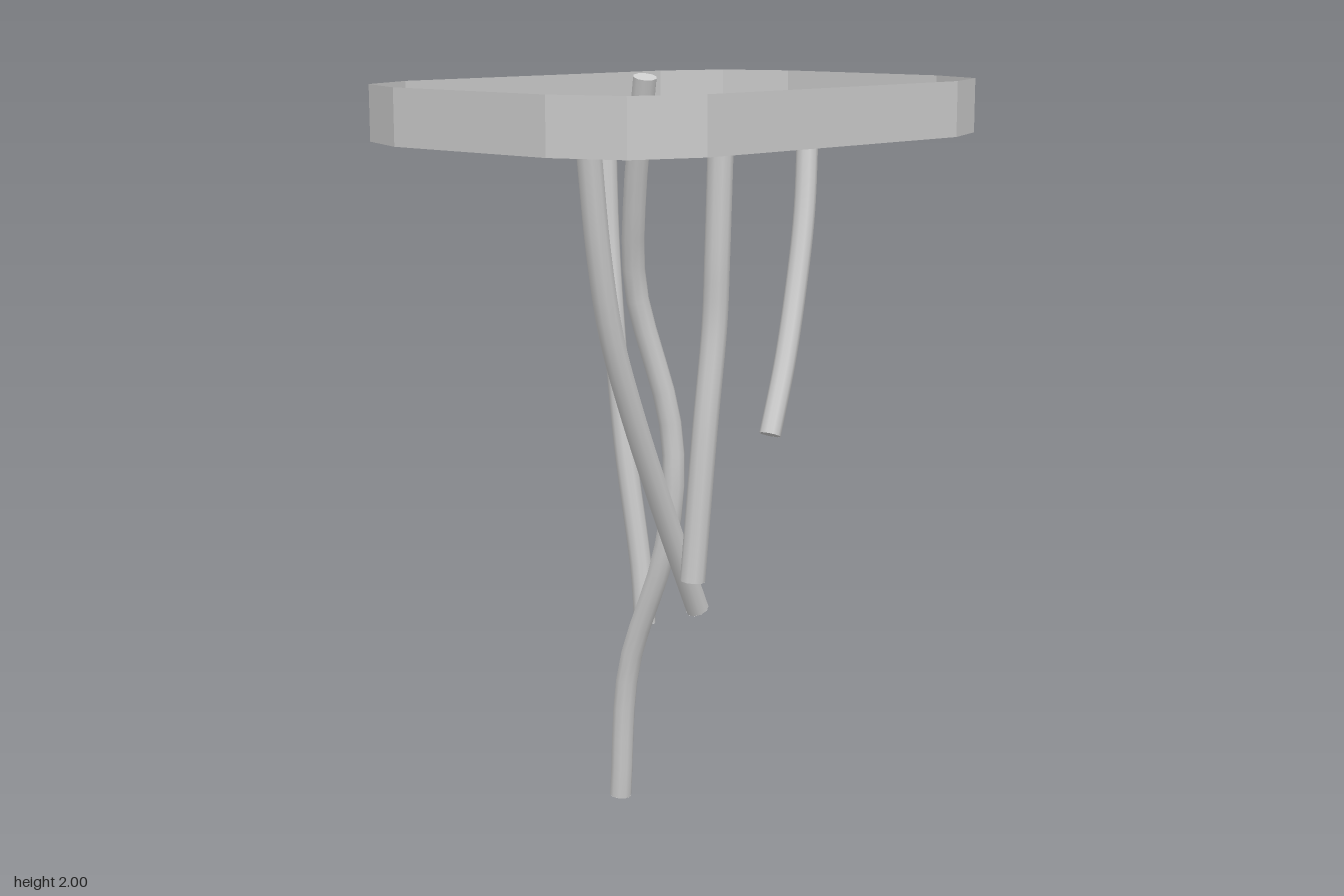
import * as THREE from 'three';

const SIDES = 10, RADIUS = 0.03;
const FLOOR_Y = 1.84, RIM_Y = 1.98;

const smooth = new THREE.MeshStandardMaterial({ color: 0xcccccc, side: THREE.DoubleSide });
const flat = new THREE.MeshStandardMaterial({ color: 0xcccccc, side: THREE.DoubleSide, flatShading: true });

// Rectangle outline with two-segment rounded corners, as [x, z] points
function trayOutline(halfX, halfZ, r) {
  const pts = [];
  [[1, 1], [-1, 1], [-1, -1], [1, -1]].forEach(([sx, sz], corner) => {
    for (let i = 0; i <= 2; i++) {
      const a = (corner + i / 2) * Math.PI / 2;
      pts.push(new THREE.Vector2(sx * (halfX - r) + r * Math.cos(a), sz * (halfZ - r) + r * Math.sin(a)));
    }
  });
  return pts;
}

// Thin open tray: a floor plate and an upright rim
function makeTray() {
  const tray = new THREE.Group();
  tray.name = 'tray';
  const outline = trayOutline(0.515, 0.725, 0.255);

  const floor = new THREE.Mesh(new THREE.ShapeGeometry(new THREE.Shape(outline)).rotateX(Math.PI / 2), flat);
  floor.name = 'trayFloor';
  floor.position.y = FLOOR_Y;

  const pos = [];
  outline.forEach((a, i) => {
    const b = outline[(i + 1) % outline.length];
    pos.push(a.x, FLOOR_Y, a.y, a.x, RIM_Y, a.y, b.x, RIM_Y, b.y);
    pos.push(a.x, FLOOR_Y, a.y, b.x, RIM_Y, b.y, b.x, FLOOR_Y, b.y);
  });
  const rimGeometry = new THREE.BufferGeometry();
  rimGeometry.setAttribute('position', new THREE.Float32BufferAttribute(pos, 3));
  rimGeometry.computeVertexNormals();
  const rim = new THREE.Mesh(rimGeometry, flat);
  rim.name = 'trayRim';

  tray.add(floor, rim);
  return tray;
}

// Bent round stem with a disc closing each end
function makeStem(name, points) {
  const stem = new THREE.Group();
  stem.name = name;
  const curve = new THREE.CatmullRomCurve3(points.map((p) => new THREE.Vector3(...p)), false, 'centripetal');
  const tube = new THREE.Mesh(new THREE.TubeGeometry(curve, 24, RADIUS, SIDES), smooth);
  tube.name = name + 'Tube';
  stem.add(tube);
  [0, 1].forEach((t) => {
    const cap = new THREE.Mesh(new THREE.CircleGeometry(RADIUS, SIDES), flat);
    cap.name = name + (t ? 'TopCap' : 'BottomCap');
    const end = curve.getPointAt(t);
    cap.position.copy(end);
    cap.lookAt(end.clone().addScaledVector(curve.getTangentAt(t), t ? 1 : -1));
    stem.add(cap);
  });
  return stem;
}

export function createModel() {
  const model = new THREE.Group();
  model.name = 'trayOnStems';
  model.add(makeTray());

  // Main stem reaches the ground and pokes up through the tray
  model.add(makeStem('mainStem', [
    [-0.265, 0.005, -0.037], [-0.225, 0.38, -0.03], [-0.1, 0.72, -0.037], [-0.065, 0.92, -0.04],
    [-0.07, 1.1, -0.03], [-0.11, 1.45, 0.055], [-0.07, 1.67, 0.1], [0.012, 1.995, 0.145],
  ]));

  // Shorter stems hanging from the tray
  model.add(makeStem('rightStem', [
    [-0.215, 0.5, -0.085], [-0.23, 0.65, -0.087], [-0.28, 1.0, -0.075],
    [-0.32, 1.3, -0.08], [-0.355, 1.55, -0.095], [-0.375, 1.842, -0.105],
  ]));
  model.add(makeStem('backStem', [
    [-0.025, 1.01, -0.385], [-0.038, 1.2, -0.46], [-0.055, 1.4, -0.525],
    [-0.07, 1.6, -0.575], [-0.097, 1.87, -0.62],
  ]));
  model.add(makeStem('frontStem', [
    [0.14, 0.645, 0.09], [0.157, 0.92, 0.23], [0.175, 1.2, 0.365],
    [0.185, 1.4, 0.445], [0.195, 1.6, 0.495], [0.207, 1.87, 0.54],
  ]));
  model.add(makeStem('leftStem', [
    [0.437, 0.84, 0.432], [0.455, 1.2, 0.41], [0.463, 1.45, 0.386],
    [0.472, 1.6, 0.388], [0.481, 1.842, 0.388],
  ]));
  return model;
}
